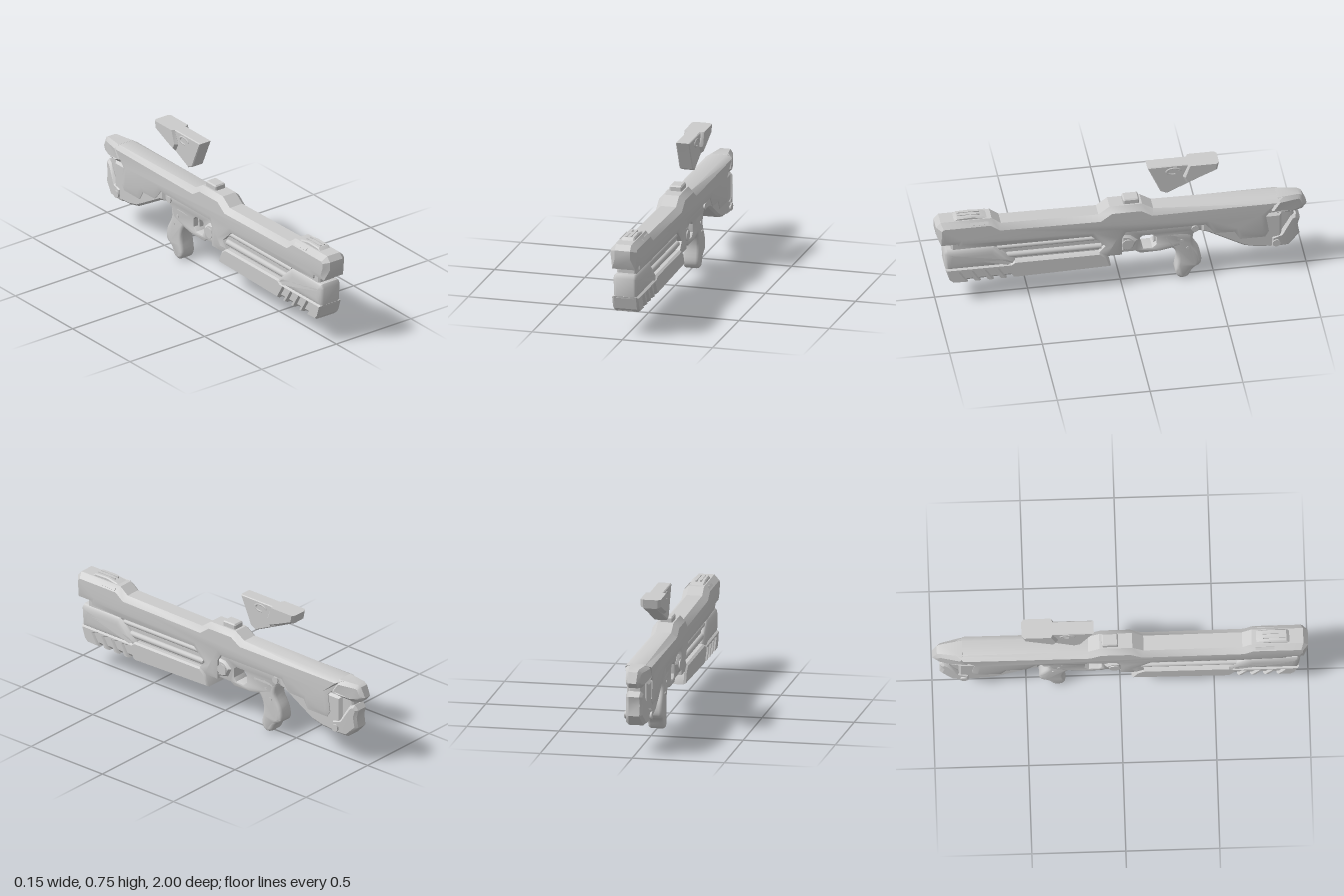
import * as THREE from 'three';
import { toCreasedNormals } from 'three/addons/utils/BufferGeometryUtils.js';

const mat = new THREE.MeshStandardMaterial({ color: 0xcccccc });

// Side profile of [z, y] points, given thickness across x with chamfered rims.
// size: chamfer seen from the side, thick: chamfer depth across x, rule: optional vertex edit.
function slab(name, pts, half, { size = 0.01, thick = size, seg = 1, hole, smooth, crease = 0.5, rule } = {}) {
  const toV = (list) => list.map(([z, y]) => new THREE.Vector2(z, y));
  const outline = smooth
    ? new THREE.CatmullRomCurve3(pts.map(([z, y]) => new THREE.Vector3(z, y, 0)), true, 'centripetal')
      .getPoints(smooth).slice(0, -1).map((p) => new THREE.Vector2(p.x, p.y))
    : toV(pts);
  const shape = new THREE.Shape(outline);
  if (hole) shape.holes.push(new THREE.Path(toV(hole)));
  const geo = new THREE.ExtrudeGeometry(shape, {
    depth: 2 * (half - thick), steps: 1, bevelEnabled: true,
    bevelThickness: thick, bevelSize: size, bevelOffset: -size, bevelSegments: seg,
  });
  geo.translate(0, 0, -(half - thick));
  geo.rotateY(-Math.PI / 2);
  if (rule) {
    const p = geo.attributes.position;
    const v = new THREE.Vector3();
    for (let i = 0; i < p.count; i++) {
      rule(v.fromBufferAttribute(p, i));
      p.setXYZ(i, v.x, v.y, v.z);
    }
  }
  geo.computeVertexNormals();
  const mesh = new THREE.Mesh(toCreasedNormals(geo, crease), mat);
  mesh.name = name;
  return mesh;
}

// Round pin running across the whole width
function pin(name, z, y, r, half) {
  const mesh = new THREE.Mesh(new THREE.CylinderGeometry(r, r, 2 * half, 20), mat);
  mesh.rotation.z = Math.PI / 2;
  mesh.position.set(0, y, z);
  mesh.name = name;
  return mesh;
}

// Narrows the butt towards the rear
const taperRear = (v) => {
  const t = THREE.MathUtils.clamp((-0.84 - v.z) / 0.16, 0, 1);
  v.x *= 1 - 0.55 * t;
};

export function createModel() {
  const g = new THREE.Group();
  g.name = 'toyRifle';

  // Main shell: deep chamfer along the top, shallow one below
  const W = 0.072;
  g.add(slab('mainShell', [
    [1.0, 0.495], [0.975, 0.523], [0.7, 0.523], [0.65, 0.485], [0.125, 0.478], [0.065, 0.523],
    [-0.11, 0.523], [-0.17, 0.485], [-0.87, 0.476], [-0.775, 0.375], [-0.79, 0.275], [-0.77, 0.24],
    [-0.635, 0.24], [-0.605, 0.292], [-0.5, 0.295], [-0.45, 0.358], [-0.02, 0.358], [0.0, 0.32],
    [0.0, 0.212], [0.08, 0.212], [0.125, 0.24], [0.09, 0.28], [0.165, 0.352], [0.69, 0.352],
    [0.88, 0.362], [0.885, 0.385], [0.975, 0.385], [1.0, 0.45],
  ], W, {
    size: 0.028, thick: 0.03,
    rule: (v) => {
      if (v.y < 0.4 && Math.abs(v.x) < W - 0.02) v.x = Math.sign(v.x) * (W - 0.008);
    },
  }));

  // Inner body seen through the side windows and under the muzzle
  g.add(slab('innerBody', [
    [0.92, 0.39], [0.92, 0.2], [0.02, 0.215], [0.02, 0.39],
  ], 0.04));
  g.add(slab('muzzleNeck', [
    [0.92, 0.4], [0.92, 0.31], [0.68, 0.31], [0.66, 0.4],
  ], 0.055));

  // Rails in the windows
  for (const [y, r] of [[0.325, 0.013], [0.27, 0.017]]) {
    for (const side of [-1, 1]) {
      const rail = new THREE.Mesh(new THREE.CylinderGeometry(r, r, 0.56, 12), mat);
      rail.rotation.x = Math.PI / 2;
      rail.position.set(side * 0.042, y, 0.39);
      rail.name = 'windowRail';
      g.add(rail);
    }
  }

  // Rounded shroud below the muzzle
  g.add(slab('frontShroud', [
    [0.945, 0.348], [0.958, 0.325], [0.95, 0.215], [0.57, 0.215], [0.575, 0.245], [0.69, 0.348],
  ], 0.07, { size: 0.045, thick: 0.022, seg: 4, crease: 0.7 }));

  // Fore-end with slanted grip notches
  const notches = [];
  for (const z of [0.86, 0.79, 0.72, 0.65]) {
    notches.push([z - 0.03, 0.132], [z + 0.012, 0.2], [z - 0.022, 0.208], [z - 0.068, 0.132]);
  }
  g.add(slab('foreEnd', [
    [0.58, 0.24], [0.6, 0.225], [0.952, 0.225], [0.93, 0.152], [0.908, 0.132], ...notches,
    [0.06, 0.145], [0.085, 0.21], [0.12, 0.24],
  ], 0.073, { size: 0.008, thick: 0.012 }));
  g.add(slab('foreEndCore', [
    [0.94, 0.22], [0.915, 0.135], [0.1, 0.148], [0.1, 0.225],
  ], 0.06, { size: 0.015, thick: 0.012 }));

  // Trigger housing with guard opening
  g.add(slab('triggerHousing', [
    [0.03, 0.38], [0.03, 0.212], [-0.075, 0.212], [-0.1, 0.195], [-0.21, 0.197], [-0.28, 0.21],
    [-0.36, 0.235], [-0.38, 0.285], [-0.41, 0.308], [-0.5, 0.308], [-0.5, 0.38],
  ], 0.046, {
    size: 0.008, seg: 2,
    hole: [[-0.1, 0.295], [-0.115, 0.308], [-0.17, 0.308], [-0.188, 0.29], [-0.188, 0.245],
      [-0.165, 0.225], [-0.115, 0.225], [-0.1, 0.245]],
  }));
  g.add(slab('trigger', [
    [-0.15, 0.32], [-0.2, 0.32], [-0.2, 0.235], [-0.175, 0.24], [-0.178, 0.275],
  ], 0.015, { size: 0.004 }));
  g.add(slab('housingPlate', [
    [0.005, 0.33], [-0.045, 0.325], [-0.085, 0.29], [-0.06, 0.24], [0.005, 0.225],
  ], 0.06, { size: 0.012 }));

  // Pistol grip
  g.add(slab('pistolGrip', [
    [-0.22, 0.3], [-0.25, 0.225], [-0.285, 0.19], [-0.302, 0.13], [-0.292, 0.035], [-0.315, 0.003],
    [-0.355, 0.007], [-0.385, 0.055], [-0.428, 0.088], [-0.425, 0.15], [-0.385, 0.23], [-0.382, 0.3],
  ], 0.046, { size: 0.018, seg: 3, smooth: 60, crease: 0.8 }));

  // Lower stock behind the shell's stepped edge
  g.add(slab('lowerStock', [
    [-0.43, 0.38], [-0.43, 0.306], [-0.46, 0.3], [-0.61, 0.213], [-0.66, 0.185], [-0.73, 0.168],
    [-0.86, 0.16], [-0.86, 0.38],
  ], 0.06, { size: 0.012 }));
  g.add(slab('stockSpine', [
    [-0.74, 0.45], [-0.74, 0.2], [-0.9, 0.2], [-0.93, 0.35], [-0.9, 0.45],
  ], 0.048, { rule: taperRear }));

  // Butt in two tapering blocks
  g.add(slab('upperButt', [
    [-0.79, 0.4], [-0.84, 0.477], [-0.955, 0.475], [-0.975, 0.465], [-1.0, 0.408], [-0.975, 0.378],
    [-0.92, 0.368], [-0.84, 0.378],
  ], 0.07, { size: 0.02, thick: 0.025, rule: taperRear }));
  g.add(slab('lowerButt', [
    [-0.855, 0.25], [-0.91, 0.34], [-0.94, 0.352], [-0.962, 0.325], [-0.95, 0.28], [-0.96, 0.22],
    [-0.9, 0.157], [-0.8, 0.16], [-0.8, 0.235],
  ], 0.068, { size: 0.014, thick: 0.018, rule: taperRear }));

  // Front sight plate, ridges and side vents on the muzzle block
  g.add(slab('frontSightPlate', [
    [0.91, 0.515], [0.885, 0.537], [0.8, 0.54], [0.74, 0.528], [0.7, 0.515],
  ], 0.036, { size: 0.006 }));
  for (const side of [-1, 1]) {
    const ridge = new THREE.Mesh(new THREE.BoxGeometry(0.008, 0.012, 0.12), mat);
    ridge.position.set(side * 0.012, 0.536, 0.82);
    ridge.name = 'sightRidge';
    const vent = new THREE.Mesh(new THREE.BoxGeometry(0.012, 0.016, 0.1), mat);
    vent.position.set(side * 0.058, 0.505, 0.77);
    vent.rotation.z = side * 0.75;
    vent.name = 'sideVent';
    g.add(ridge, vent);
  }

  // Rear sight
  g.add(slab('rearSight', [
    [-0.01, 0.515], [-0.01, 0.545], [-0.017, 0.552], [-0.09, 0.552], [-0.097, 0.545], [-0.097, 0.515],
  ], 0.034, { size: 0.006 }));

  // Pins and studs
  g.add(
    pin('receiverBolt', -0.03, 0.275, 0.03, 0.066),
    pin('gripPin', -0.395, 0.328, 0.019, 0.055),
    pin('smallPin', -0.325, 0.255, 0.009, 0.049),
    pin('smallPin', -0.355, 0.2, 0.009, 0.049),
    pin('buttStud', -0.83, 0.195, 0.021, 0.074),
  );

  // Detached wedge part floating above the stock
  const wedge = new THREE.Group();
  wedge.name = 'detachedWedge';
  wedge.add(slab('wedgeCore', [
    [-0.14, 0.75], [-0.19, 0.635], [-0.21, 0.588], [-0.245, 0.572], [-0.42, 0.655], [-0.515, 0.7],
    [-0.525, 0.75],
  ], 0.038, { size: 0.005 }));
  wedge.add(slab('wedgeRear', [
    [-0.36, 0.75], [-0.33, 0.675], [-0.35, 0.632], [-0.42, 0.66], [-0.515, 0.702], [-0.525, 0.75],
  ], 0.055, { size: 0.012, thick: 0.016, rule: (v) => { if (v.y > 0.73) v.y = 0.75; } }));
  for (const side of [-1, 1]) {
    const loop = new THREE.Mesh(new THREE.TorusGeometry(0.024, 0.006, 6, 20, Math.PI * 1.6), mat);
    loop.scale.set(1.5, 0.8, 1);
    loop.rotation.y = side * Math.PI / 2;
    loop.position.set(side * 0.037, 0.715, -0.28);
    loop.name = 'wedgeLoop';
    wedge.add(loop);
  }
  g.add(wedge);
  return g;
}
